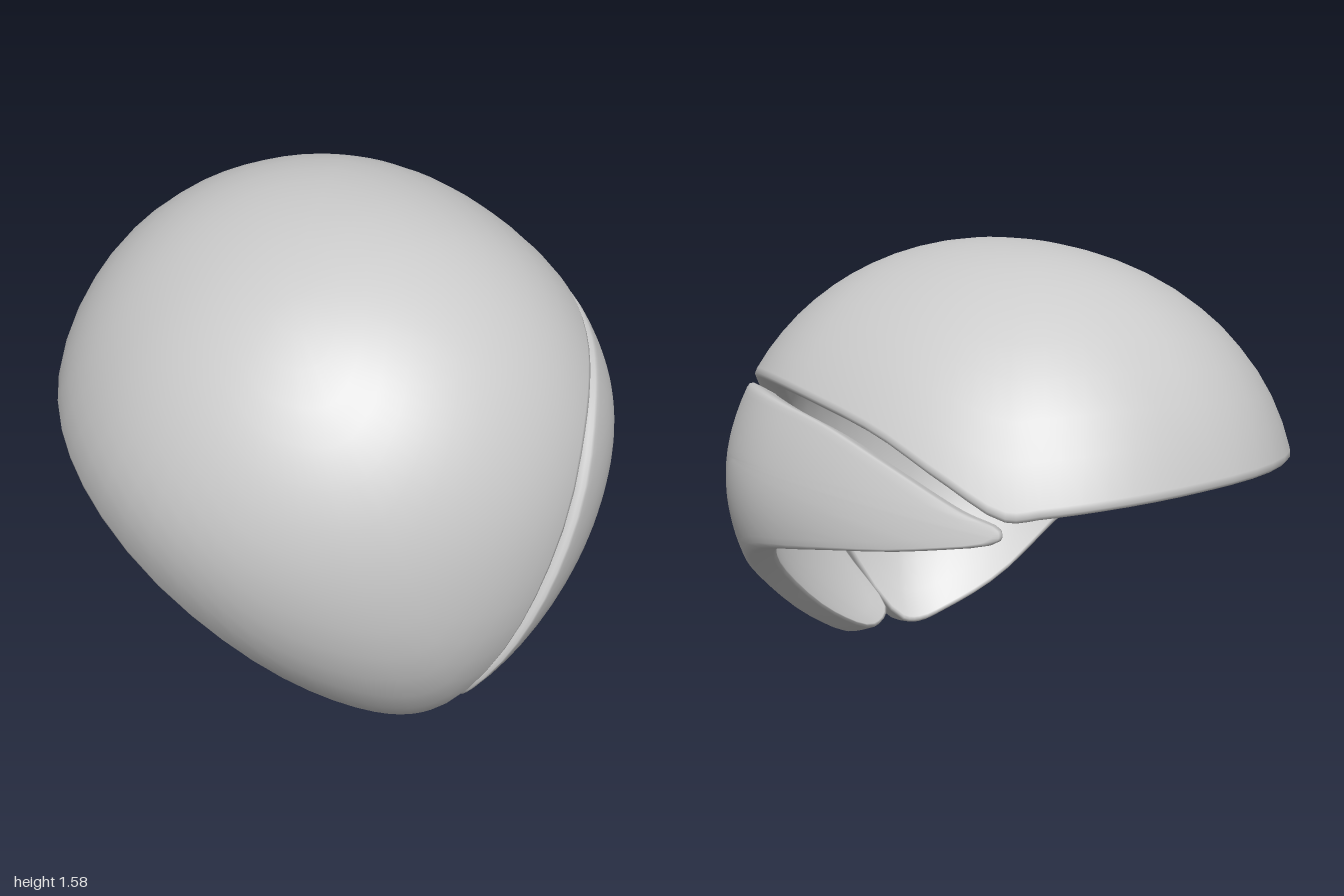
import * as THREE from 'three';
import { mergeVertices } from 'three/addons/utils/BufferGeometryUtils.js';

const CENTRE_Y = 0.65, POWER = 2.2, AROUND = 72, STEPS = 14, INNER = 0.88;

// Sides of the dome draw in towards the lower front
const taper = (y) => 1 - 0.42 * Math.max(0, 0.95 - y) ** 2;

// Point on the rounded dome along a unit direction from its centre; the back bulges a little to its left
function domePoint(dir, scale) {
  const rz = dir.z > 0 ? 1 : 1.05 + 0.13 * Math.max(0, dir.x) * Math.min(1, -3 * dir.z);
  const yz = Math.abs(dir.y / 0.93) ** POWER + Math.abs(dir.z / rz) ** POWER;
  const p = dir.clone().multiplyScalar(scale / Math.sqrt((dir.x / 0.955) ** 2 + yz ** (2 / POWER)));
  p.y += CENTRE_Y;
  p.x *= taper(p.y);
  return p;
}

// Thick curved plate: rows run from the middle out, over the rounded rim and back inside
function plate(name, middle, outline, material) {
  const mid = new THREE.Vector3(...middle).normalize();
  const curve = new THREE.CatmullRomCurve3(outline.map((p) => new THREE.Vector3(...p)), true, 'centripetal');
  const edge = curve.getPoints(AROUND).slice(0, AROUND).map((p) =>
    new THREE.Vector3(p.x / taper(p.y), p.y - CENTRE_Y, p.z).normalize());

  // Each row: [fraction of the way out, inset from the edge in radians, scale]
  const rows = [];
  for (let i = 0; i <= STEPS; i++) rows.push([i / STEPS, 0.03, 1]);
  rows.push([1, 0.01, 0.997], [1, 0.001, 0.985], [1, 0, 0.965], [1, 0.002, INNER + 0.02], [1, 0.014, INNER + 0.003]);
  for (let i = STEPS; i >= 0; i--) rows.push([i / STEPS, 0.03, INNER]);

  const positions = [], index = [];
  rows.forEach(([t, inset, scale], r) => {
    edge.forEach((dir, k) => {
      const axis = new THREE.Vector3().crossVectors(mid, dir).normalize();
      // The inside reaches further down at the front tips, so they end bluntly
      const reach = Math.max(0, -dir.y) * (1 - scale);
      const angle = (mid.angleTo(dir) - inset + reach) * t;
      positions.push(...domePoint(mid.clone().applyAxisAngle(axis, angle), scale).toArray());
      if (r === rows.length - 1) return;
      const a = r * AROUND + k, d = r * AROUND + (k + 1) % AROUND, b = a + AROUND, c = d + AROUND;
      if (r > 0) index.push(a, d, b);
      if (r < rows.length - 2) index.push(d, c, b);
    });
  });
  let geometry = new THREE.BufferGeometry();
  geometry.setAttribute('position', new THREE.Float32BufferAttribute(positions, 3));
  geometry.setIndex(index);
  geometry = mergeVertices(geometry, 1e-5);
  geometry.computeVertexNormals();
  const mesh = new THREE.Mesh(geometry, material);
  mesh.name = name;
  return mesh;
}

export function createModel() {
  const group = new THREE.Group();
  group.name = 'splitShell';
  const grey = new THREE.MeshStandardMaterial({ color: 0xcccccc });
  grey.name = 'light grey';

  // Large shell: front tip, right-hand rim, back, then along the gap
  group.add(plate('mainShell', [-0.3, 0.75, 0.35], [
    [-0.07, 0, 0.74], [-0.2, 0.02, 0.73], [-0.42, 0.16, 0.62], [-0.7, 0.43, 0.48],
    [-0.89, 0.69, 0.16], [-0.92, 0.82, -0.24], [-0.75, 0.89, -0.66], [-0.39, 0.94, -0.92],
    [0, 0.96, -1], [0.3, 0.96, -0.98], [0.52, 0.95, -0.91], [0.63, 0.95, -0.87],
    [0.7, 1.03, -0.65], [0.75, 1.12, -0.38], [0.77, 1.16, 0], [0.75, 1.16, 0.25],
    [0.69, 1.13, 0.5], [0.59, 1.06, 0.68], [0.47, 0.93, 0.8], [0.29, 0.6, 0.9],
    [0.14, 0.31, 0.86], [0, 0.03, 0.75],
  ], grey));

  // Crescent side panel: front tip, along the gap to the back point, then the lower rim
  group.add(plate('sidePanel', [0.8, 0.23, 0.37], [
    [0.1, 0.06, 0.76], [0.21, 0.32, 0.86], [0.38, 0.64, 0.89], [0.55, 0.97, 0.76],
    [0.65, 1.08, 0.6], [0.75, 1.13, 0.4], [0.81, 1.14, 0.1], [0.81, 1.12, -0.2],
    [0.77, 1.05, -0.5], [0.71, 0.97, -0.75], [0.66, 0.93, -0.89], [0.66, 0.9, -0.89],
    [0.76, 0.83, -0.64], [0.88, 0.75, -0.24], [0.88, 0.63, 0.17], [0.7, 0.41, 0.48],
    [0.43, 0.14, 0.63], [0.2, -0.01, 0.73],
  ], grey));
  return group;
}
